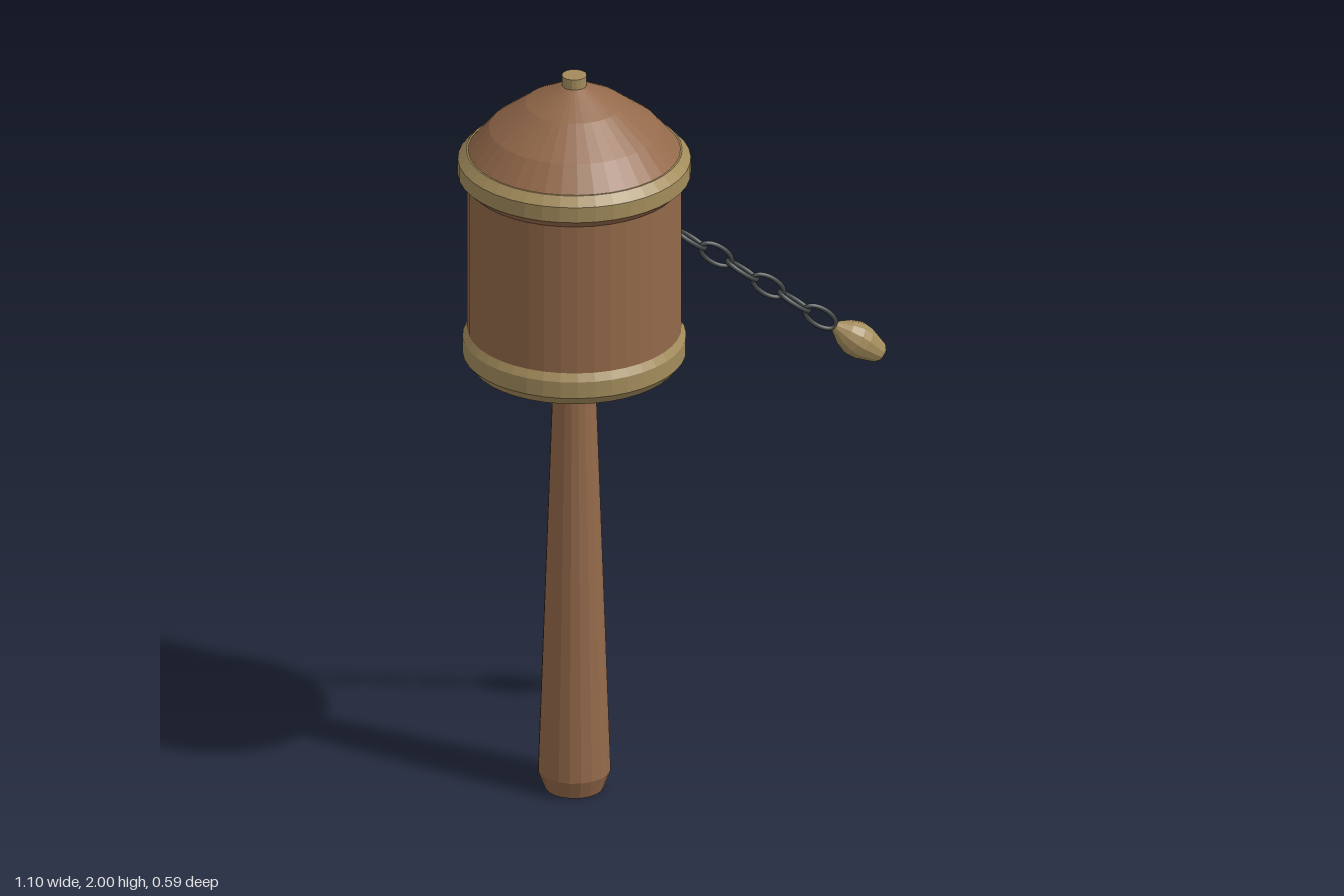
import * as THREE from 'three';

export function createModel() {
  const model = new THREE.Group();
  model.name = 'handSpinner';

  const mat = (name, color) => {
    const m = new THREE.MeshStandardMaterial({ color });
    m.name = name;
    return m;
  };
  const wood = mat('warm wood', 0x93694a);
  const brass = mat('aged brass', 0xa38c5c);
  const iron = mat('dark iron', 0x3d4243);

  // Faceted turned part; the profile lists [radius, height] from bottom to top
  const turned = (name, profile, sides, material, parent) => {
    const pts = profile.map(([r, y]) => new THREE.Vector2(r, y));
    const geo = new THREE.LatheGeometry(pts, sides).toNonIndexed();
    geo.computeVertexNormals();
    const mesh = new THREE.Mesh(geo, material);
    mesh.name = name;
    parent.add(mesh);
    return mesh;
  };

  // Everything on the spindle shares one axis
  const body = new THREE.Group();
  body.name = 'body';
  body.position.x = -0.26;
  model.add(body);

  turned('handle', [[0, 0], [0.075, 0], [0.093, 0.05], [0.056, 1.11], [0, 1.11]], 20, wood, body);
  turned('spindle', [[0, 1.1], [0.032, 1.1], [0.032, 2], [0, 2]], 16, brass, body);
  turned('washer', [[0, 1.13], [0.115, 1.13], [0.115, 1.17], [0, 1.17]], 32, brass, body);
  turned('drum', [[0, 1.21], [0.272, 1.21], [0.272, 1.74], [0, 1.74]], 40, wood, body);
  turned('lowerBand', [[0, 1.2], [0.264, 1.2], [0.284, 1.225], [0.284, 1.27], [0.272, 1.29]], 40, brass, body);
  turned('capRim', [[0.27, 1.7], [0.296, 1.725]], 40, wood, body);
  turned('upperBand', [[0.296, 1.725], [0.296, 1.767], [0.274, 1.79], [0.25, 1.79]], 40, brass, body);
  turned('dome', [[0.274, 1.785], [0.217, 1.852], [0.125, 1.922], [0.03, 1.973], [0, 1.973]], 40, wood, body);

  // Chain hangs along its local x, outward and down from the drum wall
  const chain = new THREE.Group();
  chain.name = 'chain';
  chain.position.set(0.039, 1.512, 0);
  chain.rotation.z = -0.64;
  model.add(chain);

  const loop = [];
  for (let i = 0; i < 16; i++) {
    const a = (i / 16) * Math.PI * 2;
    loop.push(new THREE.Vector3(Math.cos(a) * 0.048, Math.sin(a) * 0.023, 0));
  }
  const linkGeo = new THREE.TubeGeometry(new THREE.CatmullRomCurve3(loop, true), 24, 0.0065, 8, true);
  for (let i = 0; i < 6; i++) {
    const link = new THREE.Mesh(linkGeo, iron);
    link.name = 'chainLink' + (i + 1);
    link.position.x = i * 0.0838;
    link.rotation.x = i % 2 ? 0 : Math.PI / 2; // neighbours turn a quarter
    chain.add(link);
  }

  // Weight at the end of the chain
  const weight = turned('weight', [
    [0, 0], [0.013, 0], [0.026, 0.02], [0.036, 0.035], [0.047, 0.065],
    [0.045, 0.09], [0.028, 0.142], [0.022, 0.15], [0, 0.15],
  ], 12, brass, chain);
  weight.rotation.z = -Math.PI / 2;
  weight.position.x = 0.465;

  return model;
}
